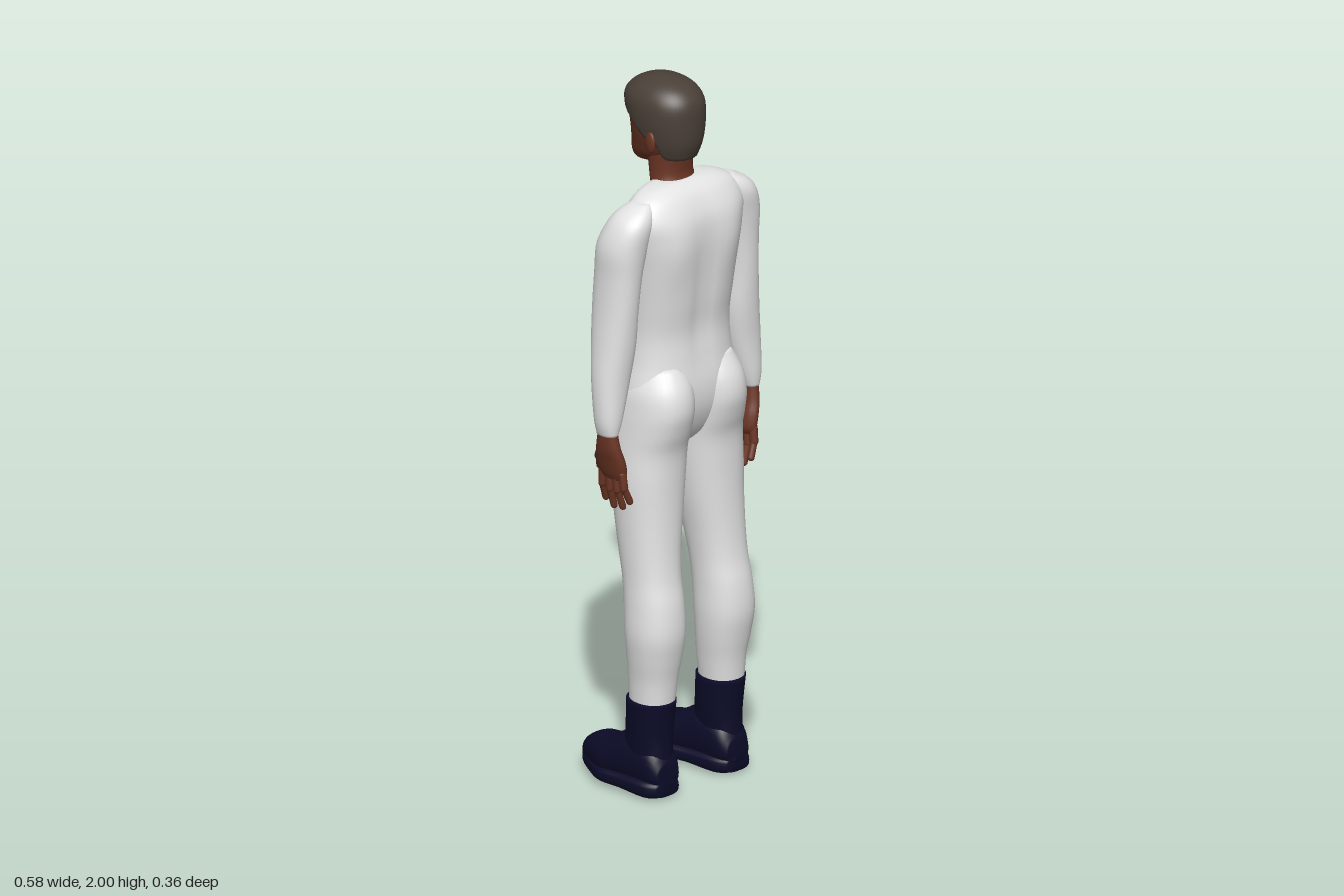
import * as THREE from 'three';

const mat = (name, color, side = THREE.FrontSide) => {
  const m = new THREE.MeshStandardMaterial({ color, side });
  m.name = name;
  return m;
};

// Smooth closed skin over sections [height, x0, x1, z0, z1], listed upwards.
// power squares off the ovals; start(sin) raises the lower edge around the ring.
function loft(sections, { seg = 32, rows = sections.length * 4, power = 2.2, start = () => 0 } = {}) {
  const last = sections.length - 1;
  const at = (u) => {
    const i = Math.min(Math.floor(u), last - 1), t = u - i;
    const [a, b, c, d] = [-1, 0, 1, 2].map((k) => sections[Math.min(last, Math.max(0, i + k))]);
    return b.map((_, k) => b[k] + 0.5 * t * (c[k] - a[k]
      + t * (2 * a[k] - 5 * b[k] + 4 * c[k] - d[k] + t * (3 * (b[k] - c[k]) + d[k] - a[k]))));
  };
  const sup = (v) => Math.sign(v) * Math.abs(v) ** (2 / power);
  const pos = [], idx = [];
  for (let i = 0; i <= rows; i++) {
    for (let j = 0; j < seg; j++) {
      const a = (j / seg) * Math.PI * 2, u0 = start(Math.sin(a));
      const [h, x0, x1, z0, z1] = at(u0 + (last - u0) * i / rows);
      pos.push((x0 + x1) / 2 + (x1 - x0) / 2 * sup(Math.cos(a)), h, (z0 + z1) / 2 + (z1 - z0) / 2 * sup(Math.sin(a)));
      const n = (j + 1) % seg, p = i * seg;
      if (i < rows) idx.push(p + j, p + seg + j, p + n, p + n, p + seg + j, p + seg + n);
    }
  }
  // end caps
  const bottom = pos.length / 3, top = bottom + 1;
  for (const s of [at(start(0)), sections[last]]) pos.push((s[1] + s[2]) / 2, s[0], (s[3] + s[4]) / 2);
  for (let j = 0; j < seg; j++) {
    const n = (j + 1) % seg;
    idx.push(bottom, j, n, top, rows * seg + n, rows * seg + j);
  }
  const g = new THREE.BufferGeometry();
  g.setAttribute('position', new THREE.Float32BufferAttribute(pos, 3));
  g.setIndex(idx);
  g.computeVertexNormals();
  return g;
}

const sym = (rows) => rows.map(([h, w, z0, z1]) => [h, -w, w, z0, z1]);

function mirrored(geo) {
  const g = geo.clone().scale(-1, 1, 1);
  const ix = g.index.array;
  for (let i = 0; i < ix.length; i += 3) [ix[i], ix[i + 1]] = [ix[i + 1], ix[i]];
  g.computeVertexNormals();
  return g;
}

function rod(a, b, r) {
  const p = new THREE.Vector3(...a), q = new THREE.Vector3(...b), d = q.clone().sub(p);
  const g = new THREE.CapsuleGeometry(r, d.length(), 4, 10);
  g.applyQuaternion(new THREE.Quaternion().setFromUnitVectors(new THREE.Vector3(0, 1, 0), d.normalize()));
  const m = p.add(q).multiplyScalar(0.5);
  return g.translate(m.x, m.y, m.z);
}

const blob = (x, y, z, rx, ry, rz) => new THREE.SphereGeometry(1, 16, 12).scale(rx, ry, rz).translate(x, y, z);

export function createModel() {
  const suit = mat('white suit', 0xe4e4e4), skin = mat('brown skin', 0x6a3524);
  const hair = mat('dark hair', 0x4a4038, THREE.DoubleSide), boot = mat('navy boots', 0x0b0b28);
  const lip = mat('lips', 0x5a2822), eyeWhite = mat('eye white', 0xc9bdb4), iris = mat('iris', 0x1c100c);

  const model = new THREE.Group();
  model.name = 'standingFigure';
  const add = (name, geo, m) => {
    const mesh = new THREE.Mesh(geo, m);
    mesh.name = name;
    model.add(mesh);
  };
  const pair = (name, geo, m) => {
    add('left' + name, geo, m);
    add('right' + name, mirrored(geo), m);
  };

  // Torso, with chest, shoulder blades and spine shaped afterwards
  const torso = loft(sym([
    [0.97, 0.03, 0.0, 0.08], [1.01, 0.11, -0.055, 0.12], [1.08, 0.182, -0.085, 0.15], [1.15, 0.18, -0.097, 0.158],
    [1.23, 0.167, -0.1, 0.15], [1.31, 0.162, -0.093, 0.145], [1.4, 0.168, -0.095, 0.156], [1.5, 0.18, -0.094, 0.164],
    [1.58, 0.19, -0.068, 0.167], [1.64, 0.192, -0.028, 0.16], [1.69, 0.17, 0.0, 0.135],
    [1.715, 0.125, 0.01, 0.108], [1.725, 0.07, 0.025, 0.085],
  ]), { seg: 48, power: 2.6 });
  const p = torso.attributes.position;
  const bump = (x, y, cx, cy, rx, ry) => Math.exp(-(((x - cx) / rx) ** 2) - ((y - cy) / ry) ** 2);
  for (let i = 0; i < p.count; i++) {
    const x = Math.abs(p.getX(i)), y = p.getY(i), z = p.getZ(i);
    if (z < 0) p.setZ(i, z - 0.012 * bump(x, y, 0.08, 1.5, 0.05, 0.06) + 0.006 * bump(x, y, 0, 1.45, 0.02, 0.12));
    if (z > 0.1) p.setZ(i, z + 0.01 * bump(x, y, 0.1, 1.55, 0.05, 0.09) - 0.014 * bump(x, y, 0, 1.42, 0.03, 0.2));
  }
  torso.computeVertexNormals();
  add('torso', torso, suit);

  // Legs, rising into the hips and buttocks
  pair('Leg', loft([
    [0.25, 0.072, 0.182, 0.025, 0.148], [0.33, 0.063, 0.187, 0.02, 0.155], [0.4, 0.054, 0.197, 0.02, 0.168],
    [0.47, 0.049, 0.204, 0.016, 0.178], [0.55, 0.049, 0.2, 0.01, 0.172], [0.62, 0.047, 0.196, 0.0, 0.158],
    [0.7, 0.038, 0.197, -0.017, 0.15], [0.8, 0.022, 0.2, -0.036, 0.146], [0.9, 0.009, 0.203, -0.052, 0.146],
    [0.98, 0.002, 0.199, -0.068, 0.15], [1.04, 0.001, 0.194, -0.08, 0.168], [1.1, 0.002, 0.188, -0.088, 0.181],
    [1.16, 0.005, 0.178, -0.085, 0.172], [1.22, 0.02, 0.15, -0.06, 0.14],
  ]), suit);

  // Sleeves with rounded shoulders
  pair('Sleeve', loft([
    [1.055, 0.236, 0.281, 0.02, 0.085], [1.1, 0.218, 0.29, 0.012, 0.09], [1.2, 0.188, 0.29, -0.005, 0.093],
    [1.3, 0.17, 0.281, -0.02, 0.102], [1.4, 0.168, 0.272, -0.026, 0.11], [1.5, 0.16, 0.267, -0.024, 0.117],
    [1.58, 0.145, 0.266, -0.02, 0.125], [1.64, 0.135, 0.246, 0.0, 0.13], [1.675, 0.13, 0.216, 0.02, 0.12],
    [1.698, 0.13, 0.17, 0.045, 0.1],
  ]), suit);

  // Hands: palm, four fingers and a forward thumb
  pair('Palm', loft([
    [0.925, 0.224, 0.25, 0.015, 0.09], [0.945, 0.216, 0.258, 0.002, 0.1], [0.98, 0.221, 0.267, 0.0, 0.1],
    [1.02, 0.233, 0.276, 0.012, 0.092], [1.08, 0.24, 0.277, 0.026, 0.08],
  ], { seg: 20 }), skin);
  [[0.09, 0.1, 0.865], [0.066, 0.073, 0.843], [0.041, 0.04, 0.838], [0.016, 0.008, 0.852]].forEach(([z0, z1, tip], i) => {
    const knuckle = [0.24, 0.945, z0], mid = [0.238, (0.945 + tip) / 2, (z0 + z1) / 2], end = [0.222, tip, z1];
    pair('FingerBase' + (i + 1), rod(knuckle, mid, 0.0115), skin);
    pair('FingerTip' + (i + 1), rod(mid, end, 0.0095), skin);
  });
  pair('ThumbBase', rod([0.246, 1.0, 0.02], [0.222, 0.965, -0.015], 0.015), skin);
  pair('ThumbTip', rod([0.222, 0.965, -0.015], [0.207, 0.928, -0.03], 0.0105), skin);

  // Boots: shaft, then foot and sole swept from heel to toe
  pair('BootShaft', loft([
    [0.04, 0.078, 0.178, 0.005, 0.148], [0.12, 0.075, 0.18, 0.0, 0.145], [0.18, 0.07, 0.183, 0.008, 0.144],
    [0.272, 0.066, 0.188, 0.014, 0.153],
  ]), boot);
  pair('BootFoot', loft([
    [-0.15, 0.09, 0.165, 0.03, 0.1], [-0.12, 0.073, 0.18, 0.012, 0.15], [-0.05, 0.066, 0.185, 0.012, 0.175],
    [0.0, 0.06, 0.19, 0.012, 0.158], [0.06, 0.05, 0.192, 0.012, 0.125], [0.12, 0.05, 0.168, 0.012, 0.112],
    [0.16, 0.06, 0.148, 0.02, 0.092], [0.18, 0.085, 0.125, 0.035, 0.07],
  ]).rotateX(-Math.PI / 2), boot);
  pair('BootSole', loft([
    [-0.15, 0.09, 0.168, 0.008, 0.05], [-0.11, 0.068, 0.19, 0, 0.055], [-0.02, 0.056, 0.196, 0.004, 0.055],
    [0.05, 0.043, 0.2, 0.004, 0.055], [0.11, 0.046, 0.176, 0.008, 0.055], [0.155, 0.058, 0.152, 0.015, 0.055],
    [0.178, 0.08, 0.13, 0.028, 0.05],
  ], { power: 3.2 }).rotateX(-Math.PI / 2), boot);

  // Neck and head, facing -z
  add('neck', loft(sym([
    [1.65, 0.075, 0.02, 0.1], [1.7, 0.068, -0.012, 0.09], [1.74, 0.06, -0.028, 0.078], [1.8, 0.058, -0.04, 0.085],
  ])), skin);
  add('head', loft(sym([
    [1.745, 0.022, -0.09, -0.045], [1.757, 0.04, -0.1, 0.0], [1.78, 0.058, -0.103, 0.06], [1.81, 0.069, -0.1, 0.098],
    [1.85, 0.079, -0.098, 0.112], [1.9, 0.084, -0.102, 0.113], [1.94, 0.08, -0.1, 0.106], [1.97, 0.06, -0.07, 0.08],
    [1.985, 0.03, -0.03, 0.04],
  ])), skin);
  add('nose', loft(sym([
    [1.822, 0.012, -0.106, -0.085], [1.832, 0.019, -0.117, -0.08], [1.845, 0.014, -0.115, -0.08],
    [1.87, 0.009, -0.106, -0.08], [1.895, 0.008, -0.1, -0.08],
  ]), { seg: 14 }), skin);
  add('upperLip', blob(0, 1.803, -0.099, 0.025, 0.005, 0.008), lip);
  add('lowerLip', blob(0, 1.793, -0.098, 0.022, 0.006, 0.009), lip);
  pair('Eye', blob(0.034, 1.876, -0.093, 0.013, 0.006, 0.006), eyeWhite);
  pair('Iris', blob(0.034, 1.876, -0.097, 0.005, 0.005, 0.003), iris);
  pair('Brow', rod([0.018, 1.896, -0.1], [0.048, 1.898, -0.092], 0.004), hair);
  pair('Ear', blob(0.085, 1.838, 0.04, 0.008, 0.03, 0.018).rotateY(0.04), skin);

  // Short hair, high over the brow and low at the nape
  const edge = (s) => {
    const keys = [[-1, 2.65], [-0.45, 2.1], [-0.1, 1.5], [0.12, 1.1], [0.35, 1.1], [0.55, 0.1], [1, 0]];
    const k = Math.max(1, keys.findIndex(([v]) => s <= v + 1e-6));
    const [a, b] = [keys[k - 1], keys[k]];
    return Math.max(0, a[1] + (b[1] - a[1]) * (s - a[0]) / (b[0] - a[0]));
  };
  add('hair', loft(sym([
    [1.785, 0.07, -0.095, 0.1], [1.83, 0.083, -0.105, 0.116], [1.89, 0.092, -0.109, 0.12], [1.94, 0.09, -0.116, 0.117],
    [1.972, 0.073, -0.093, 0.095], [1.991, 0.046, -0.055, 0.06], [2.0, 0.012, -0.015, 0.02],
  ]), { seg: 48, rows: 24, start: edge }), hair);

  return model;
}
